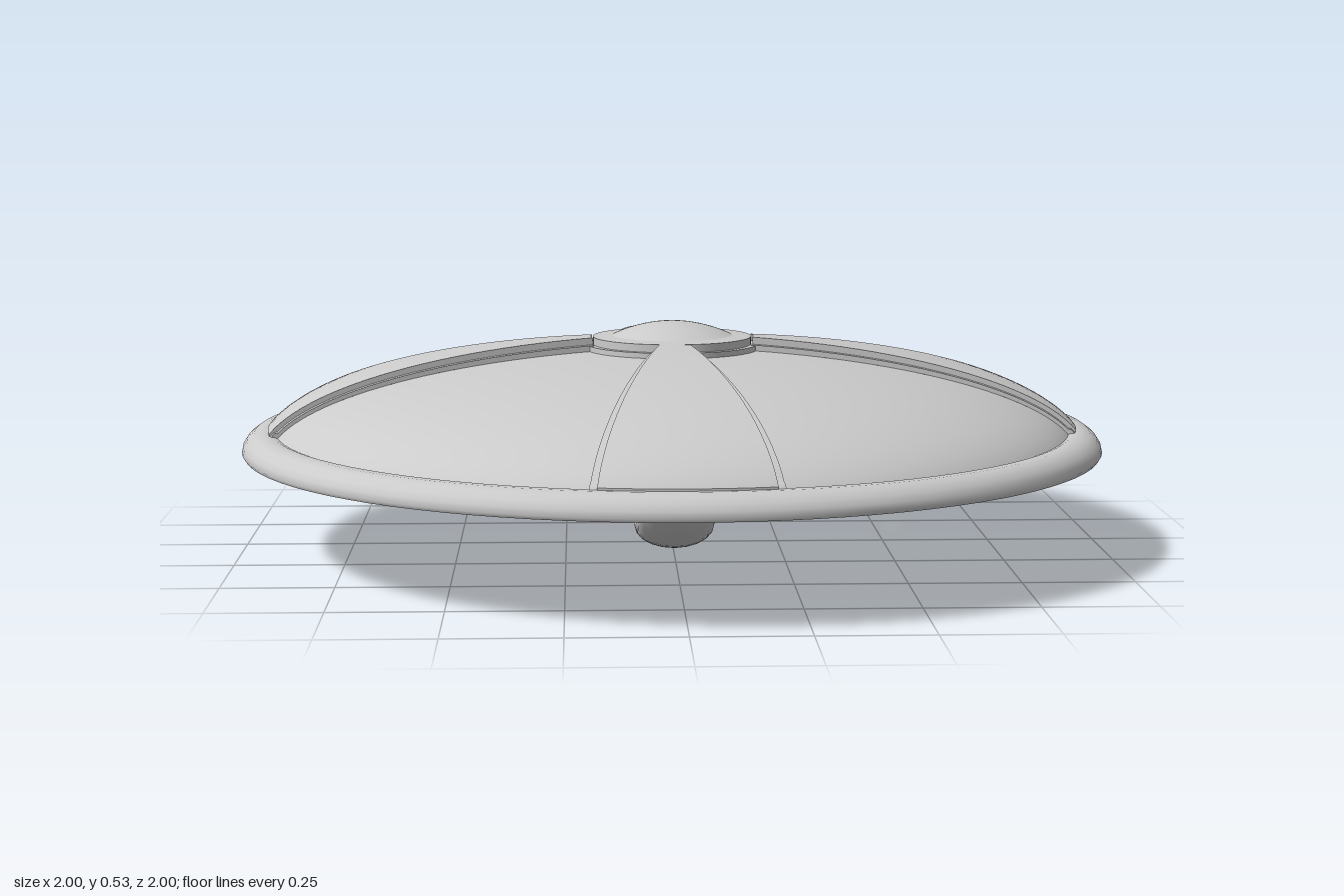
import * as THREE from 'three';

const material = new THREE.MeshStandardMaterial({ color: 0xcccccc, side: THREE.DoubleSide });

// Smooth grid surface; f(u, v) returns [x, y, z]
function surface(nu, nv, f) {
  const pos = [], idx = [];
  for (let i = 0; i <= nu; i++)
    for (let j = 0; j <= nv; j++) pos.push(...f(i / nu, j / nv));
  for (let i = 0; i < nu; i++)
    for (let j = 0; j < nv; j++) {
      const a = i * (nv + 1) + j, b = a + nv + 1;
      idx.push(a, b, a + 1, b, b + 1, a + 1);
    }
  const g = new THREE.BufferGeometry();
  g.setAttribute('position', new THREE.Float32BufferAttribute(pos, 3));
  g.setIndex(idx);
  g.computeVertexNormals();
  return g;
}

// Height profiles (flattened ellipses) and the flaring strap half-width
const R0 = 0.19, R_PANEL = 0.925, R_STRAP = 0.94;
const ellipse = (r, a, b) => 0.23 + b * Math.sqrt(Math.max(0, 1 - (r / a) ** 2));
const panelY = (r) => ellipse(r, 0.945, 0.235);
const strapY = (r) => ellipse(r, 0.964, 0.265);
const midY = (r) => (r < R_PANEL ? 0.55 * panelY(r) + 0.45 * strapY(r) : strapY(r) - 0.008);
const baseY = (r) => Math.min(panelY(r), strapY(r) - 0.015);
const halfWidth = (r) => 0.055 + 0.195 * (r - 0.2);
const radius = (u, end) => R0 + (end - R0) * Math.sin((u * Math.PI) / 2);
const lerp = THREE.MathUtils.lerp;

function createStrap() {
  const strap = new THREE.Group();
  // Stepped cross-section, left to right: [side, inset, height]
  const section = [
    [-1, 0, baseY], [-1, 0, midY], [-1, 0.017, midY], [-1, 0.017, strapY],
    [1, 0.017, strapY], [1, 0.017, midY], [1, 0, midY], [1, 0, baseY],
  ];
  const corner = ([side, inset, y], r) => [side * (halfWidth(r) - inset), y(r)];
  for (let k = 0; k < section.length - 1; k++) {
    const geo = surface(28, k === 3 ? 12 : 1, (u, v) => {
      const r = radius(u, R_STRAP);
      const [s0, y0] = corner(section[k], r), [s1, y1] = corner(section[k + 1], r);
      const s = lerp(s0, s1, v);
      return [s, lerp(y0, y1, v), Math.sqrt(r * r - s * s)];
    });
    const face = new THREE.Mesh(geo, material);
    face.name = k === 3 ? 'strapTop' : 'strapEdge';
    strap.add(face);
  }
  // Small wall closing the outer end onto the rim
  const end = new THREE.Mesh(surface(1, 12, (u, v) => {
    const s = lerp(-1, 1, v) * (halfWidth(R_STRAP) - 0.017);
    return [s, strapY(R_STRAP) - 0.02 * u, Math.sqrt(R_STRAP ** 2 - s * s)];
  }), material);
  end.name = 'strapEnd';
  strap.add(end);
  return strap;
}

// Lathe from several smooth runs, so the corners between runs stay sharp
function lathe(name, runs) {
  const group = new THREE.Group();
  group.name = name;
  for (const run of runs) {
    const pts = run.map(([x, y]) => new THREE.Vector2(x, y));
    const mesh = new THREE.Mesh(new THREE.LatheGeometry(pts, 96), material);
    mesh.name = name + 'Surface';
    group.add(mesh);
  }
  return group;
}

export function createModel() {
  const model = new THREE.Group();
  model.name = 'roundShield';

  // Four dome panels and four raised straps
  const panelGeo = surface(28, 24, (u, v) => {
    const r = radius(u, R_PANEL);
    const edge = Math.asin(halfWidth(r) / r);
    const phi = lerp(edge, Math.PI / 2 - edge, v);
    return [r * Math.sin(phi), panelY(r), r * Math.cos(phi)];
  });
  for (let i = 0; i < 4; i++) {
    const panel = new THREE.Mesh(panelGeo, material);
    panel.name = 'domePanel';
    const strap = createStrap();
    strap.name = 'strap';
    panel.rotation.y = strap.rotation.y = (i * Math.PI) / 2;
    model.add(panel, strap);
  }

  // Rounded rim with a flat underside
  model.add(lathe('rim', [
    [[0.915, 0.23], [0.995, 0.23]],
    [[0.995, 0.23], [1, 0.238], [0.997, 0.252], [0.988, 0.266], [0.972, 0.278],
      [0.952, 0.284], [0.932, 0.284], [0.915, 0.278]],
    [[0.915, 0.278], [0.915, 0.23]],
  ]));

  // Stepped hub collar
  model.add(lathe('hub', [
    [[0.2, 0.455], [0.2, 0.472]],
    [[0.2, 0.472], [0.185, 0.472]],
    [[0.185, 0.472], [0.185, 0.49]],
    [[0.185, 0.49], [0.14, 0.493]],
  ]));

  // Shallow domed boss
  const bossRun = [];
  for (let i = 0; i <= 10; i++) {
    const r = 0.14 * (1 - i / 10);
    bossRun.push([r, 0.493 + 0.032 * (1 - (r / 0.14) ** 2)]);
  }
  model.add(lathe('boss', [bossRun]));

  // Oval hand grip beneath the dome
  const grip = new THREE.Mesh(new THREE.TorusGeometry(0.358, 0.09, 20, 72), material);
  grip.name = 'handGrip';
  grip.rotation.y = Math.PI / 2;
  grip.scale.y = 0.525;
  grip.position.y = 0.235;
  model.add(grip);

  return model;
}
